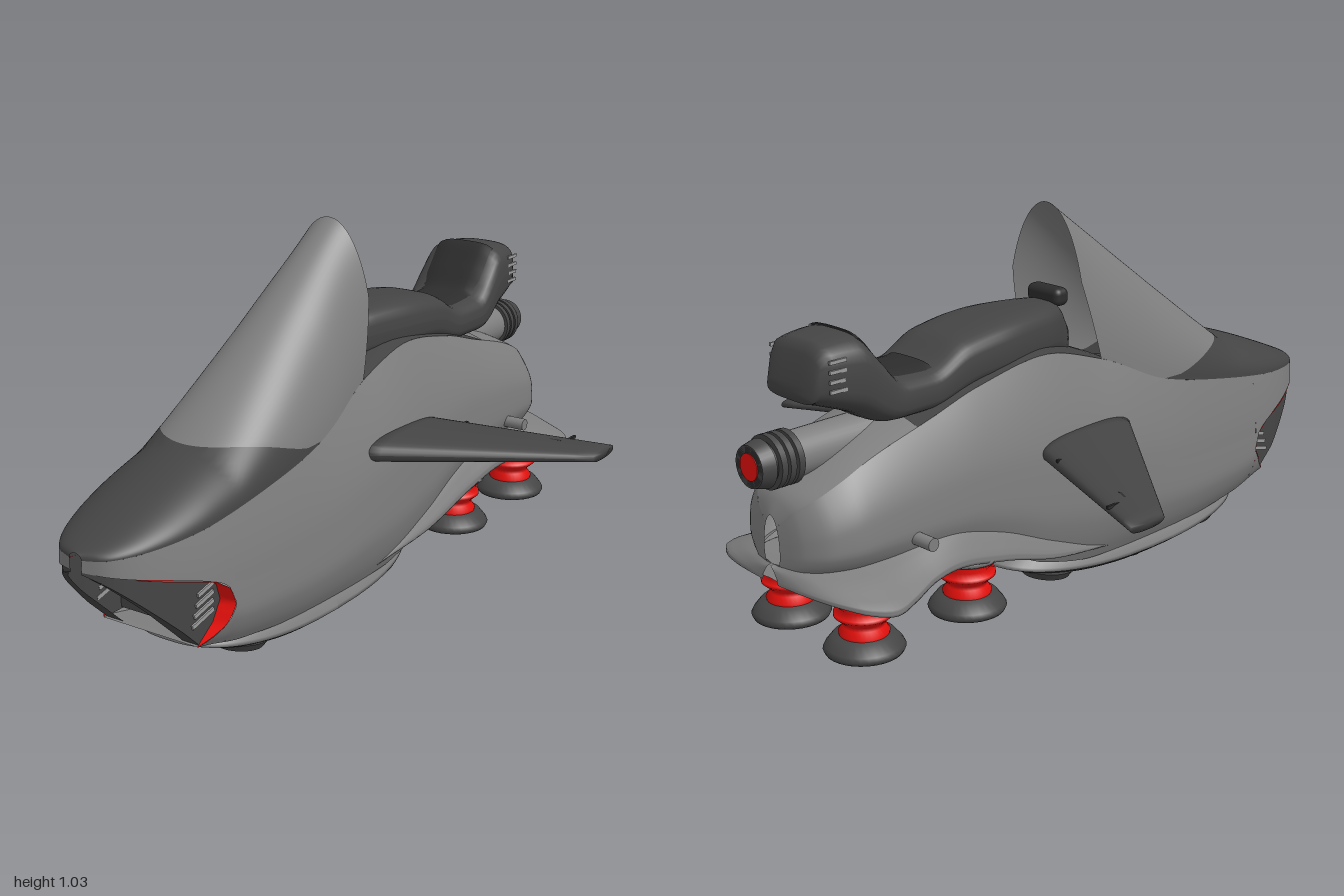
import * as THREE from 'three';
import { ParametricGeometry } from 'three/addons/geometries/ParametricGeometry.js';
import { RoundedBoxGeometry } from 'three/addons/geometries/RoundedBoxGeometry.js';

const paint = (name, color) => {
  const m = new THREE.MeshStandardMaterial({ color, side: THREE.DoubleSide });
  m.name = name;
  return m;
};
const grey = paint('hull grey', 0x7e7e7e), dark = paint('dark panel', 0x444444);
const black = paint('black trim', 0x2c2c2c), red = paint('red', 0xe8100c), pale = paint('pale mark', 0x9a9a9a);

// Smooth monotone interpolation through [z, value] pairs, sorted by z
function curve(p) {
  const s = p.slice(1).map((q, i) => (q[1] - p[i][1]) / (q[0] - p[i][0]));
  const m = p.map((_, i) => {
    const a = s[i - 1] ?? s[0], b = s[i] ?? s[s.length - 1];
    return a * b <= 0 ? 0 : 2 * a * b / (a + b);
  });
  return z => {
    z = Math.min(Math.max(z, p[0][0]), p[p.length - 1][0]);
    let i = 0;
    while (i < p.length - 2 && z > p[i + 1][0]) i++;
    const h = p[i + 1][0] - p[i][0], t = (z - p[i][0]) / h, t2 = t * t, t3 = t2 * t;
    return (2 * t3 - 3 * t2 + 1) * p[i][1] + (t3 - 2 * t2 + t) * h * m[i]
      + (3 * t2 - 2 * t3) * p[i + 1][1] + (t3 - t2) * h * m[i + 1];
  };
}
const lerp = THREE.MathUtils.lerp;
const ease = u => (1 - Math.cos(Math.PI * u)) / 2;
const spow = (c, e) => Math.sign(c) * Math.abs(c) ** e;

// Hull outline along z: half width, lower and upper edge, upper edge narrowing
const halfW = curve([[-0.945, 0.03], [-0.93, 0.1], [-0.88, 0.165], [-0.8, 0.195], [-0.5, 0.21], [0, 0.226], [0.4, 0.217],
  [0.7, 0.197], [0.8, 0.177], [0.9, 0.138], [0.95, 0.105], [0.98, 0.072], [1, 0.02]]);
const low = curve([[-0.945, 0.28], [-0.5, 0.23], [-0.35, 0.18], [-0.2, 0.11], [0, 0.07], [0.3, 0.065], [0.6, 0.09], [0.75, 0.12], [1, 0.13]]);
const edge = curve([[-0.945, 0.38], [-0.93, 0.425], [-0.88, 0.465], [-0.75, 0.53], [-0.55, 0.59], [-0.4, 0.635], [-0.18, 0.67],
  [0.04, 0.615], [0.27, 0.515], [0.5, 0.465], [0.75, 0.425], [1, 0.4]]);
const narrow = curve([[-0.945, 0.7], [0, 0.66], [0.2, 0.77], [0.4, 0.85], [1, 0.92]]);
const belly = curve([[0, 0.8], [0.1, 0.91], [0.28, 1], [0.5, 0.985], [0.72, 0.7], [1, 0]]);
function hullX(z, y) {
  const t = (y - low(z)) / (edge(z) - low(z));
  const b = t < 0.5 ? belly(t) : lerp(0.985, narrow(z), ((Math.max(t, 0.5) - 0.5) / 0.5) ** 1.6);
  return halfW(z) * b;
}
const mouthTop = curve([[0.66, 0.22], [0.675, 0.26], [0.72, 0.29], [1, 0.37]]);
const mouthBottom = curve([[0.66, 0.21], [0.69, 0.165], [0.75, 0.12]]);
const chin = z => Math.max(0.12, 0.12 + (z - 0.74) * 0.94);
const shellX = z => Math.min(0.15, halfW(z) * 0.85);

export function createModel() {
  const root = new THREE.Group();
  const add = (name, geo, mat, x = 0, y = 0, z = 0, parent = root) => {
    const m = new THREE.Mesh(geo, mat);
    m.name = name;
    m.position.set(x, y, z);
    parent.add(m);
    return m;
  };
  const surface = (name, mat, nu, nv, f) => {
    const g = new ParametricGeometry((u, v, t) => t.set(...f(u, v)), nu, nv);
    g.computeVertexNormals();
    return add(name, g, mat);
  };
  // Closed loft: superellipse rings given by ring(u) = [centre, rx, ry], closed at both ends
  const loft = (name, mat, n, e, ring) => surface(name, mat, n, 32, (u, v) => {
    const k = u < 1e-6 || u > 1 - 1e-6 ? 0 : 1;
    const [c, rx, ry, axis] = ring(Math.min(Math.max((u * n - 1) / (n - 2), 0), 1));
    const p = spow(Math.cos(v * 2 * Math.PI), e) * rx * k, q = spow(Math.sin(v * 2 * Math.PI), e) * ry * k;
    return axis === 'x' ? [c[0], c[1] + q, c[2] + p] : [c[0] + p, c[1] + q, c[2]];
  });

  // Hull sides, split around the mouth
  for (const s of [-1, 1]) {
    const side = (name, z0, z1, lo, hi, n) => surface(name, grey, n, 20, (u, v) => {
      const z = lerp(z0, z1, 1 - (1 - u) ** 1.6), y = lerp(lo(z), hi(z), v);
      return [s * hullX(z, y), y, z];
    });
    side('hullSide', 0.66, -0.945, low, edge, 64);
    side('noseSide', 0.66, 1, mouthTop, edge, 28);
    side('chinSide', 0.66, 0.75, low, mouthBottom, 8);

    // Dark mouth cheek, sloping front frame and red return
    surface('mouthCheek', dark, 20, 6, (u, v) => {
      const z = lerp(0.64, 1, u);
      return [s * shellX(z), lerp(chin(z), mouthTop(z) + 0.015, v), z];
    });
    surface('mouthFrame', dark, 12, 4, (u, v) => {
      const z = lerp(0.74, 0.99, u), x = shellX(z);
      return [s * lerp(Math.min(0.095, x * 0.75), x, v), chin(z), z];
    });
    const rim = [[0.92, 0.347], [0.72, 0.29], [0.675, 0.26], [0.66, 0.215], [0.69, 0.165], [0.75, 0.122]];
    surface('mouthRedReturn', red, 20, 1, (u, v) => {
      const i = Math.min(Math.floor(u * 5), 4), t = u * 5 - i;
      const z = lerp(rim[i][0], rim[i + 1][0], t), y = lerp(rim[i][1], rim[i + 1][1], t);
      return [s * lerp(shellX(z), hullX(z, y), v), y, z];
    });
    // Claw marks on cheek and seat
    for (let i = 0; i < 4; i++) {
      const len = 0.085 - i * 0.008;
      add('cheekMark', new THREE.BoxGeometry(0.006, 0.011, len), pale, s * 0.152, 0.19 + i * 0.024, 0.73 - i * 0.004).rotation.x = 0.25;
      add('seatMark', new THREE.BoxGeometry(0.006, 0.009, 0.05), pale, s * 0.113, 0.71 + i * 0.024, -0.815);
    }
  }
  surface('hullBottom', grey, 48, 8, (u, v) => {
    const z = lerp(-0.945, 0.75, ease(u));
    return [(2 * v - 1) * hullX(z, low(z)), low(z), z];
  });
  const deck = (name, mat, z0, z1, rise) => surface(name, mat, 30, 14, (u, v) => {
    const z = lerp(z0, z1, u), x = 2 * v - 1;
    return [x * hullX(z, edge(z)), edge(z) + rise * (1 - x * x), z];
  });
  deck('rearDeck', grey, -0.945, -0.6, 0.025);
  deck('cockpitFloor', dark, -0.6, 0.6, 0.01);

  // Mouth interior with grille
  add('mouthBack', new THREE.BoxGeometry(0.3, 0.24, 0.01), dark, 0, 0.245, 0.68);
  add('grilleBox', new RoundedBoxGeometry(0.19, 0.2, 0.03, 3, 0.014), black, 0, 0.25, 0.695);
  for (let i = -4; i <= 4; i++) add('grilleBar', new THREE.CylinderGeometry(0.004, 0.004, 0.145, 8), pale, i * 0.014, 0.25, 0.715);

  // Hood and windshield share one arched surface, parted along a swept line
  const crest = z => z > 0.6 ? lerp(0.565, 0.415, ((z - 0.6) / 0.4) ** 1.15) : 0.565 + (0.6 - z) * 0.75;
  const part = a => 0.27 + 0.33 * Math.max(Math.sin(a), 0) ** 0.6;
  const arch = (z, a) => [hullX(z, edge(z)) * Math.cos(a), lerp(edge(z), crest(z), Math.max(Math.sin(a), 0)), z];
  surface('hood', dark, 30, 48, (u, v) => arch(lerp(part(v * Math.PI), 1, 1 - (1 - u) ** 1.6), v * Math.PI));
  surface('windshield', grey, 30, 48, (u, v) => {
    const a = v * Math.PI;
    return arch(lerp(part(a), lerp(0.04, -0.015, Math.min(1, Math.sin(a) * 2)), u), a);
  });

  // Flared rear skirt
  const flare = curve([[-0.955, 0.03], [-0.945, 0.13], [-0.92, 0.22], [-0.88, 0.285], [-0.82, 0.315], [-0.75, 0.295], [-0.65, 0.26],
    [-0.5, 0.237], [-0.2, 0.222], [0.06, 0.19]]);
  const skirtLow = curve([[-0.955, 0.235], [-0.82, 0.205], [-0.6, 0.225], [-0.4, 0.19], [-0.2, 0.135], [0.06, 0.09]]);
  const skirtTop = curve([[-0.955, 0.28], [-0.75, 0.29], [-0.55, 0.31], [-0.4, 0.28], [-0.2, 0.2], [0.06, 0.1]]);
  for (const s of [-1, 1]) surface('rearSkirt', grey, 50, 15, (u, v) => {
    const z = lerp(0.06, -0.955, 1 - (1 - u) ** 1.6), x = flare(z), l = skirtLow(z), h = skirtTop(z);
    const ix = Math.min(hullX(z, h) - 0.02, x * 0.9);
    const p = [[0, l + 0.012], [x * 0.9, l + 0.01], [x, l], [x, lerp(l, h, 0.22)], [lerp(ix, x, 0.45), lerp(l, h, 0.72)], [ix, h]];
    const i = Math.min(Math.floor(v * 5 + 1e-6), 4), t = v * 5 - i;
    return [s * lerp(p[i][0], p[i + 1][0], t), lerp(p[i][1], p[i + 1][1], t), z];
  });

  // Saddle with tank and raised back
  const seatTop = curve([[-0.87, 0.72], [-0.845, 0.815], [-0.74, 0.825], [-0.68, 0.765], [-0.62, 0.7], [-0.52, 0.695], [-0.4, 0.75], [-0.2, 0.772], [-0.03, 0.765], [0.02, 0.7]]);
  const seatLow = curve([[-0.87, 0.675], [-0.75, 0.63], [-0.65, 0.585], [-0.52, 0.585], [-0.35, 0.62], [-0.1, 0.63], [0.02, 0.61]]);
  const seatW = curve([[-0.87, 0.09], [-0.82, 0.112], [-0.65, 0.13], [-0.5, 0.125], [-0.3, 0.13], [-0.1, 0.1], [0.02, 0.05]]);
  loft('saddle', dark, 60, 0.6, u => {
    const z = lerp(0.02, -0.87, u), a = seatTop(z), b = seatLow(z);
    return [[0, (a + b) / 2, z], seatW(z), (a - b) / 2];
  });
  surface('saddlePad', black, 20, 10, (u, v) => {
    const z = lerp(-0.5, -0.74, u), x = 2 * v - 1;
    return [x * 0.09, seatTop(z) + 0.006 - 0.014 * x ** 4, z];
  });
  add('console', new RoundedBoxGeometry(0.12, 0.05, 0.05, 3, 0.018), black, 0, 0.775, -0.01);

  // Exhaust
  const along = (name, mat, r0, r1, z0, z1) =>
    add(name, new THREE.CylinderGeometry(r0, r1, z0 - z1, 32).rotateX(Math.PI / 2), mat, 0, 0.54, (z0 + z1) / 2);
  along('exhaustPipe', grey, 0.062, 0.058, -0.55, -0.9);
  along('exhaustCore', black, 0.058, 0.05, -0.88, -0.998);
  for (let i = 0; i < 3; i++) along('exhaustRib', dark, 0.068, 0.068, -0.885 - i * 0.025, -0.902 - i * 0.025);
  along('exhaustTip', dark, 0.062, 0.053, -0.962, -0.998);
  along('exhaustGlow', red, 0.034, 0.034, -0.99, -1);

  // Wings, flap seams and side pegs
  for (const s of [-1, 1]) {
    loft('wing', dark, 14, 0.8, u => {
      const x = lerp(0.19, 0.667, u), front = lerp(0.11, -0.29, u), back = lerp(-0.235, -0.41, u);
      return [[s * x, lerp(0.432, 0.402, u), (front + back) / 2], (front - back) / 2, lerp(0.038, 0.015, u), 'x'];
    });
    const flap = add('flapSeam', new THREE.BoxGeometry(0.3, 0.006, 0.006), black, s * 0.42, 0.438, -0.255);
    flap.rotation.set(0, s * 0.38, -s * 0.08);
    for (const [x, z] of [[0.29, -0.24], [0.565, -0.35]]) add('flapGap', new THREE.BoxGeometry(0.007, 0.008, 0.06), black, s * x, lerp(0.44, 0.42, (x - 0.29) / 0.3), z);
    add('sidePeg', new THREE.CylinderGeometry(0.017, 0.017, 0.08, 20).rotateZ(Math.PI / 2), grey, s * 0.22, 0.32, -0.66);
  }

  // Front hover pad: stacked rounded outlines [scale, height]
  const pad = (name, mat, levels) => surface(name, mat, levels.length - 1, 64, (u, v) => {
    const [k, h] = levels[Math.round(u * (levels.length - 1))], a = v * 2 * Math.PI;
    const c = spow(Math.sin(a), 0.7), x = 0.192 * k * spow(Math.cos(a), 0.7);
    return [x, h + 0.042 * (c * k) ** 2, 0.215 + 0.475 * k * c];
  });
  pad('padFlange', grey, [[0.85, 0.1], [0.95, 0.062], [1, 0.045], [1, 0.034], [0.93, 0.03]]);
  pad('padUnderside', black, [[0.94, 0.03], [0.9, 0.02], [0.6, 0.018], [0.3, 0.016], [0, 0.016]]);
  for (const s of [-1, 1]) for (const z of [-0.1, 0.2, 0.5]) {
    const d = (z - 0.215) / 0.475, lens = new THREE.Group();
    lens.name = 'hoverLens';
    lens.position.set(s * 0.082, 0.012 + 0.042 * d * d, z);
    lens.rotation.x = -d * 0.16;
    add('lensRing', new THREE.CylinderGeometry(0.077, 0.064, 0.02, 32), dark, 0, 0, 0, lens);
    add('lensGlow', new THREE.CylinderGeometry(0.053, 0.053, 0.008, 32), red, 0, -0.008, 0, lens);
    root.add(lens);
  }

  // Rear hover legs
  const lathe = p => new THREE.LatheGeometry(p.map(q => new THREE.Vector2(...q)), 32);
  for (const s of [-1, 1]) for (const z of [-0.45, -0.79]) {
    const leg = new THREE.Group();
    leg.name = 'hoverLeg';
    leg.position.set(s * 0.145, 0, z);
    add('foot', lathe([[0, 0.052], [0.097, 0.052], [0.102, 0.062], [0.097, 0.072], [0.078, 0.096], [0.045, 0.1]]), dark, 0, 0, 0, leg);
    add('footGlow', new THREE.CylinderGeometry(0.076, 0.076, 0.006, 32), red, 0, 0.051, 0, leg);
    add('bellows', lathe([[0.06, 0.09], [0.064, 0.105], [0.053, 0.12], [0.053, 0.13], [0.074, 0.148], [0.074, 0.156],
      [0.058, 0.168], [0.076, 0.186], [0.07, 0.24]]), red, 0, 0, 0, leg);
    add('collar', new THREE.TorusGeometry(0.078, 0.012, 10, 32).rotateX(Math.PI / 2), grey, 0, 0.203, 0, leg);
    root.add(leg);
  }
  return root;
}
